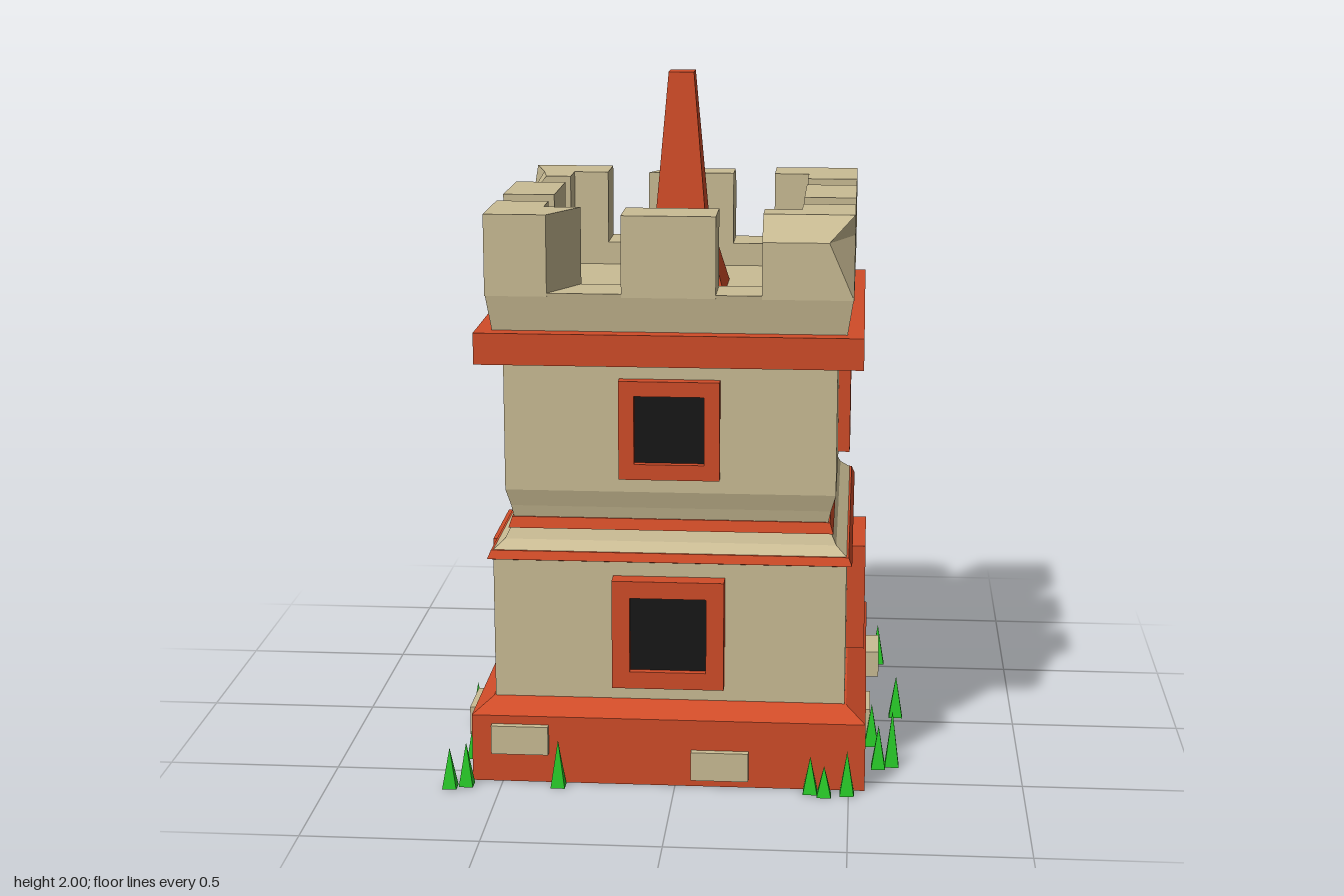
import * as THREE from 'three';

const mat = (color) => new THREE.MeshStandardMaterial({ color, flatShading: true, side: THREE.DoubleSide });

export function createModel() {
  const model = new THREE.Group();
  const tower = new THREE.Group();
  tower.name = 'tower';
  tower.position.x = -0.021;
  model.add(tower);
  const stone = mat(0xcabc94), red = mat(0xd04c28), dark = mat(0x171717), green = mat(0x28c828);

  const add = (name, geometry, material, parent = tower) => {
    const mesh = new THREE.Mesh(geometry, material);
    mesh.name = name;
    parent.add(mesh);
    return mesh;
  };
  // Square tier swept from [half width, height] points
  const tier = (name, profile, material) => add(name, new THREE.LatheGeometry(
    profile.map(([r, y]) => new THREE.Vector2(r * Math.SQRT2, y)), 4, Math.PI / 4), material);
  // Box given by its limits
  const box = (name, x0, x1, y0, y1, z0, z1, material, parent) => {
    const m = add(name, new THREE.BoxGeometry(x1 - x0, y1 - y0, z1 - z0, 1, 2, 1), material, parent);
    m.geometry.translate((x0 + x1) / 2, (y0 + y1) / 2, (z0 + z1) / 2);
    return m;
  };

  // Tiers from the ground up
  tier('base', [[0.567, 0], [0.567, 0.2], [0.51, 0.24], [0.5, 0.24]], red);
  tier('wall', [[0.505, 0.23], [0.505, 0.665], [0.505, 0.68], [0.475, 0.705], [0.458, 0.74],
    [0.45, 0.76], [0.458, 0.8], [0.472, 0.85], [0.472, 1.24]], stone);
  tier('lowerTrim', [[0.503, 0.65], [0.521, 0.656], [0.511, 0.68], [0.5, 0.68]], red);
  tier('upperTrim', [[0.455, 0.733], [0.466, 0.735], [0.456, 0.766], [0.445, 0.766]], red);
  tier('topBand', [[0, 1.23], [0.545, 1.23], [0.545, 1.32], [0.45, 1.32]], red);
  tier('parapet', [[0.498, 1.32], [0.515, 1.43], [0.365, 1.43], [0.365, 1.36], [0, 1.36]], stone);
  tier('spire', [[0.133, 1.36], [0.075, 1.56], [0.037, 2], [0, 2]], red);

  // Windows: beams cross the tower, each end closed by a frame and a dark pane
  const rect = (Type, w, y0, y1) => new Type([[-w, y0], [w, y0], [w, y1], [-w, y1]]
    .map(([x, y]) => new THREE.Vector2(x, y)));
  const windows = [
    { name: 'lowerWindow', w: 0.16, y0: 0.29, y1: 0.61, iw: 0.109, i0: 0.34, i1: 0.56, out: 0.559 },
    { name: 'upperWindow', w: 0.143, y0: 0.895, y1: 1.18, iw: 0.099, i0: 0.94, i1: 1.137, out: 0.507 },
  ];
  for (const o of windows) {
    for (let i = 0; i < 4; i++) {
      const g = new THREE.Group();
      g.name = o.name;
      g.rotation.y = i * Math.PI / 2;
      tower.add(g);
      const shape = rect(THREE.Shape, o.w, o.y0, o.y1);
      shape.holes.push(rect(THREE.Path, o.iw, o.i0, o.i1));
      const frame = new THREE.ExtrudeGeometry(shape, { depth: 0.03, bevelEnabled: false });
      frame.translate(0, 0, o.out - 0.03);
      add('windowFrame', frame, red, g);
      box('windowBeam', -o.w, o.w, o.y0, o.y1, 0, o.out - 0.03, red, g);
      box('windowPane', -o.iw, o.iw, o.i0, o.i1, o.out - 0.04, o.out - 0.022, dark, g);
    }
  }

  // Middle merlons; the back one has a worn outer edge
  const wear = (mesh, rule) => {
    const p = mesh.geometry.attributes.position, v = new THREE.Vector3();
    for (let i = 0; i < p.count; i++) {
      rule(v.fromBufferAttribute(p, i));
      p.setXYZ(i, v.x, v.y, v.z);
    }
  };
  const I = 0.365, O = 0.515, G = 0.26, Y = 1.42, T = 1.65;
  const isMid = (v) => v.y > 1.45 && v.y < 1.64;
  for (let i = 0; i < 4; i++) {
    const m = box('middleMerlon', -0.132, 0.132, Y, T, I, O, stone);
    if (i === 2) wear(m, (v) => {
      if (isMid(v)) v.y = 1.6;
      if (v.y > 1.64 && v.z > 0.5) { v.z = 0.47; if (v.x > 0) v.x -= 0.05; }
    });
    m.rotation.y = i * Math.PI / 2;
  }

  // L-shaped corner merlons, two of them chipped
  for (const sx of [-1, 1]) for (const sz of [-1, 1]) {
    const span = (s, a, b) => (s > 0 ? [a, b] : [-b, -a]);
    const arm = box('cornerMerlonAcross', ...span(sx, G, O), Y, T, ...span(sz, I, O), stone);
    const side = box('cornerMerlonAlong', ...span(sx, I, O), Y, T, ...span(sz, G, I), stone);
    if (sx > 0 && sz > 0) wear(arm, (v) => { // worn front edge and corner
      if (isMid(v)) { v.y = 1.58; if (v.x > 0.5 && v.z > 0.5) v.x -= 0.07; }
      if (v.y > 1.64 && v.z > 0.5) { v.z = 0.455; }
    });
    if (sx < 0 && sz > 0) wear(arm, (v) => { // slanted end
      if (v.x > -0.3 && v.z > 0.5) v.x -= 0.08;
    });
    if (sx < 0 && sz < 0) for (const part of [arm, side]) wear(part, (v) => { // worn outer edge
      if (isMid(v)) v.y = 1.56;
      if (v.y > 1.64 && v.x < -0.5) v.x = v.z < -0.5 ? -0.5 : v.z < -0.3 ? -0.46 : -0.44;
    });
  }

  // Loose stones set in the base: [x0, x1, y0, y1, z0, z1]
  const stones = [
    [-0.53, -0.365, 0.09, 0.175, 0.53, 0.588], [0.047, 0.212, 0.025, 0.11, 0.53, 0.588],
    [-0.28, -0.115, 0.07, 0.155, -0.588, -0.53], [-0.628, -0.55, 0.07, 0.155, -0.475, -0.31],
    [-0.628, -0.55, 0.06, 0.145, 0.195, 0.36], [0.51, 0.586, 0.075, 0.157, -0.355, -0.19],
    [0.51, 0.56, 0.025, 0.11, 0.04, 0.2],
  ];
  for (const s of stones) box('baseStone', ...s, stone, model);

  // Grass blades: [x, z, height]
  const blades = [
    [-0.58, -0.625, 0.17], [-0.535, -0.615, 0.13], [-0.565, -0.59, 0.12], [0.09, -0.62, 0.14],
    [0.065, -0.595, 0.11], [0.535, -0.62, 0.16], [0.585, -0.54, 0.13], [-0.61, -0.22, 0.14],
    [-0.645, 0.105, 0.13], [-0.61, 0.39, 0.14], [-0.6, 0.605, 0.13], [-0.645, 0.625, 0.12],
    [-0.335, 0.595, 0.14], [0.39, 0.59, 0.11], [0.43, 0.61, 0.09], [0.495, 0.595, 0.13],
    [0.585, 0.385, 0.13], [0.625, 0.365, 0.17], [0.565, 0.205, 0.13], [0.64, -0.045, 0.13],
  ];
  for (const [x, z, h] of blades) {
    const blade = add('grassBlade', new THREE.ConeGeometry(0.029, h, 4, 1, false, Math.PI / 4), green, model);
    blade.position.set(x, h / 2, z);
  }
  return model;
}
